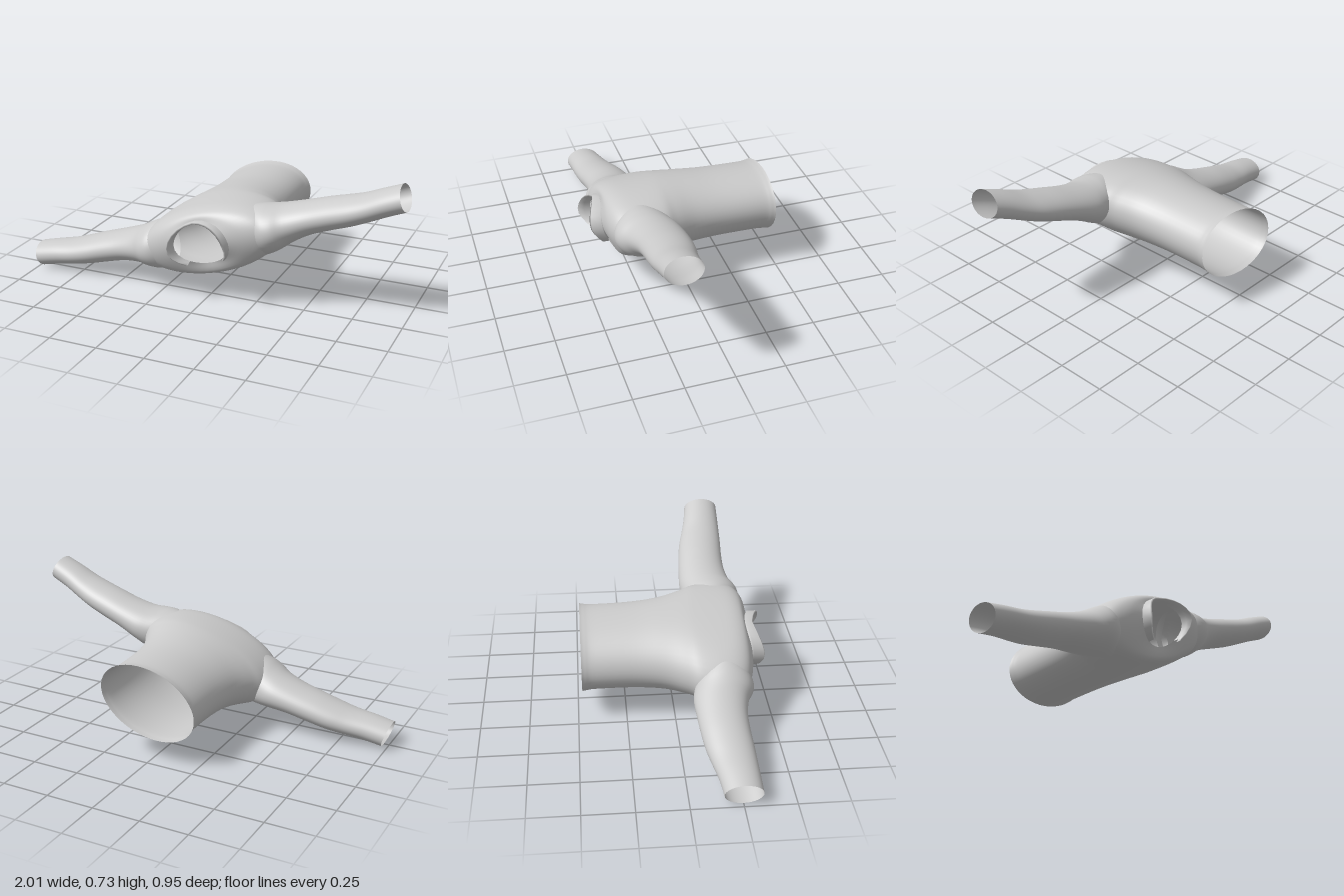
import * as THREE from 'three';

const material = new THREE.MeshStandardMaterial({ color: 0xcccccc, side: THREE.DoubleSide });
const TILT = 0.297; // lean of the sleeves across the body

// Smoothly resample rows of section values
function resample(rows, steps) {
  const out = [];
  for (let k = 0; k <= steps; k++) {
    const f = (k / steps) * (rows.length - 1);
    const i = Math.min(Math.floor(f), rows.length - 2), t = f - i;
    const a = rows[Math.max(i - 1, 0)], b = rows[i], c = rows[i + 1], d = rows[Math.min(i + 2, rows.length - 1)];
    out.push(b.map((v, j) => v + 0.5 * t * (c[j] - a[j] +
      t * (2 * a[j] - 5 * v + 4 * c[j] - d[j] + t * (3 * (v - c[j]) + d[j] - a[j])))));
  }
  return out;
}

// Open skin through rings of points; skip(centre) leaves out faces
function skin(name, rings, closed = true, skip = () => false) {
  const n = rings[0].length, index = [];
  for (let i = 0; i < rings.length - 1; i++) {
    for (let j = 0; j < (closed ? n : n - 1); j++) {
      const k = (j + 1) % n;
      const mid = rings[i][j].clone().add(rings[i + 1][k]).multiplyScalar(0.5);
      if (skip(mid)) continue;
      const a = i * n + j, b = i * n + k, c = a + n, d = b + n;
      index.push(a, b, c, b, d, c);
    }
  }
  const g = new THREE.BufferGeometry().setFromPoints(rings.flat());
  g.setIndex(index);
  g.computeVertexNormals();
  const mesh = new THREE.Mesh(g, material);
  mesh.name = name;
  return mesh;
}

const SIDES = 48;
const angles = Array.from({ length: SIDES }, (_, i) => (i / SIDES) * Math.PI * 2);

// The neckline dips back at the top and further at the bottom
const dip = (s) => 0.017 * s - 0.042 * s * s;

// Body from hem to neckline: z, half width, half thickness, height shift, share of the neckline dip
function body() {
  const rows = resample([
    [-0.475, 0.267, 0.180, -0.014, 0],
    [-0.455, 0.262, 0.177, -0.015, 0],
    [-0.400, 0.257, 0.173, -0.014, 0],
    [-0.200, 0.262, 0.174, -0.010, 0],
    [-0.050, 0.285, 0.181, -0.006, 0],
    [0.060, 0.330, 0.186, -0.004, 0],
    [0.130, 0.370, 0.186, -0.004, 0],
    [0.230, 0.390, 0.182, -0.005, 0],
    [0.310, 0.380, 0.176, -0.006, 0.2],
    [0.365, 0.335, 0.163, -0.006, 0.6],
    [0.395, 0.250, 0.142, -0.003, 0.9],
    [0.405, 0.145, 0.112, 0, 1],
  ], 55);
  const rings = rows.map(([z, a, b, shift, share]) => angles.map((t) => {
    const s = Math.sin(t);
    return new THREE.Vector3(a * Math.cos(t), shift + b * s, z + share * dip(s));
  }));
  // armholes
  const inArm = (p) => Math.abs(p.x) > 0.31 && ((p.z - 0.24) / 0.12) ** 2 + (p.y / 0.09) ** 2 < 1;
  return skin('body', rings, true, inArm);
}

// Sleeve: distance out, height, z, half thickness, half depth
function sleeve(side, name) {
  const rows = resample([
    [0.270, -0.006, 0.245, 0.130, 0.128],
    [0.320, -0.006, 0.243, 0.122, 0.147],
    [0.370, -0.005, 0.233, 0.109, 0.150],
    [0.430, 0.000, 0.215, 0.094, 0.138],
    [0.530, 0.008, 0.208, 0.081, 0.126],
    [0.640, 0.012, 0.212, 0.077, 0.121],
    [0.740, 0.014, 0.221, 0.073, 0.117],
    [0.830, 0.020, 0.232, 0.068, 0.108],
    [0.930, 0.033, 0.243, 0.066, 0.098],
    [1.030, 0.042, 0.250, 0.065, 0.092],
  ], 36);
  const rings = rows.map(([x, y, z, ry, rz]) => angles.map((t) =>
    new THREE.Vector3(side * x, y + ry * Math.sin(t), z + side * rz * Math.cos(t))));
  return skin(name, rings);
}

// Standing collar band, open at the lower front
function collar() {
  const count = 18, start = -0.85, end = Math.PI + 0.85;
  const ring = (grow, lift) => Array.from({ length: count + 1 }, (_, i) => {
    const t = start + (end - start) * (i / count);
    const s = Math.sin(t);
    const height = (0.038 + 0.027 * Math.abs(Math.cos(t))) * (1 + 0.4 * Math.min(s, 0));
    return new THREE.Vector3((0.145 + grow) * Math.cos(t), (0.112 + grow) * s, 0.405 + dip(s) + lift * height);
  });
  return skin('collar', [ring(0, 0), ring(0.002, 0.5), ring(0.005, 1), ring(0.013, 0.92), ring(0.013, 0.1)], false);
}

export function createModel() {
  const garment = new THREE.Group();
  garment.name = 'garment';
  garment.add(body(), sleeve(1, 'leftSleeve'), sleeve(-1, 'rightSleeve'), collar());
  garment.rotation.z = TILT;
  garment.position.set(0.007, 0.322, 0);
  const model = new THREE.Group();
  model.name = 'shirt';
  model.add(garment);
  return model;
}
